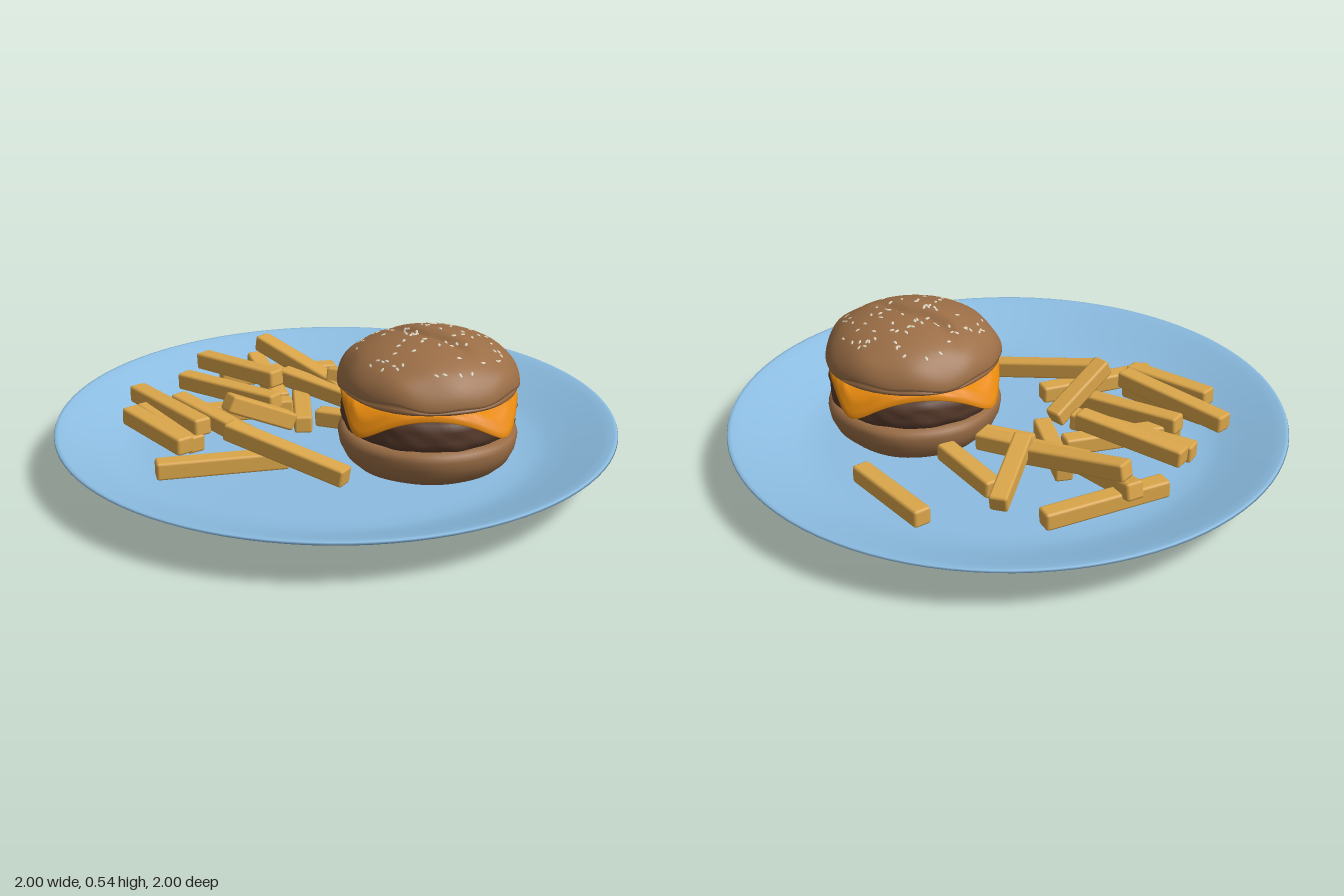
import * as THREE from 'three';
import { mergeVertices, mergeGeometries } from 'three/addons/utils/BufferGeometryUtils.js';
import { RoundedBoxGeometry } from 'three/addons/geometries/RoundedBoxGeometry.js';

const paint = (name, color) => {
  const m = new THREE.MeshStandardMaterial({ color });
  m.name = name;
  return m;
};

// Lathe a [radius, y] profile, optionally moving each vertex by a rule
function turned(profile, segments, rule) {
  const points = profile.map(([r, y]) => new THREE.Vector2(r, y));
  let geo = new THREE.LatheGeometry(points, segments);
  if (!rule) return geo;
  const pos = geo.attributes.position;
  const v = new THREE.Vector3();
  for (let i = 0; i < pos.count; i++) {
    v.fromBufferAttribute(pos, i);
    rule(v, Math.hypot(v.x, v.z), Math.atan2(v.z, v.x));
    pos.setXYZ(i, v.x, v.y, v.z);
  }
  geo.deleteAttribute('uv');
  geo.deleteAttribute('normal');
  geo = mergeVertices(geo, 1e-5);
  geo.computeVertexNormals();
  return geo;
}

function seeded(seed) {
  return () => {
    seed = (seed * 16807) % 2147483647;
    return seed / 2147483647;
  };
}

// Depth of the crease that runs across the crown of the bun
function crease(x, z) {
  const along = 0.83 * x + 0.55 * z;
  const across = 0.83 * z - 0.55 * x + 0.03 * Math.sin(along * 12);
  return 0.026 * Math.exp(-((across / 0.025) ** 2)) * Math.exp(-(((along + 0.02) / 0.17) ** 4));
}

const BUN_R = 0.318, BUN_Y = 0.365, BUN_H = 0.172;
const crownY = (x, z) =>
  BUN_Y + BUN_H * Math.sqrt(Math.max(0, 1 - (x * x + z * z) / BUN_R ** 2)) - crease(x, z);

export function createModel() {
  const model = new THREE.Group();
  const blue = paint('plate blue', 0x8cbde2);
  const brown = paint('bun brown', 0x9b6e46);
  const dark = paint('patty brown', 0x573a2b);
  const orange = paint('cheese orange', 0xe88a0e);
  const gold = paint('fry gold', 0xdba64a);
  const cream = paint('seed cream', 0xdcd2bc);

  const add = (parent, name, geo, mat) => {
    const mesh = new THREE.Mesh(geo, mat);
    mesh.name = name;
    parent.add(mesh);
    return mesh;
  };

  // Plate with a foot ring and a raised rim
  add(model, 'plate', turned([
    [0, 0.022], [0.5, 0.022], [0.53, 0.016], [0.55, 0.002], [0.57, 0], [0.59, 0.004], [0.62, 0.018],
    [0.67, 0.031], [0.8, 0.079], [0.92, 0.125], [0.985, 0.152], [1, 0.161], [0.997, 0.168],
    [0.985, 0.168], [0.95, 0.157], [0.85, 0.118], [0.77, 0.089], [0.71, 0.075], [0.64, 0.07], [0, 0.07],
  ], 96), blue);

  const burger = new THREE.Group();
  burger.name = 'burger';
  burger.position.x = 0.35;
  model.add(burger);

  // Bottom bun, slightly uneven
  add(burger, 'bottomBun', turned([
    [0, 0.068], [0.22, 0.068], [0.26, 0.08], [0.29, 0.108], [0.308, 0.145], [0.314, 0.18],
    [0.308, 0.2], [0.29, 0.212], [0, 0.212],
  ], 64, (v, r, a) => {
    const s = 1 + 0.008 * Math.sin(3 * a + 1) + 0.005 * Math.sin(7 * a);
    v.x *= s;
    v.z *= s;
  }), brown);

  // Patty with a rough edge
  add(burger, 'patty', turned([
    [0, 0.2], [0.28, 0.205], [0.298, 0.22], [0.304, 0.245], [0.3, 0.265], [0.305, 0.285],
    [0.298, 0.31], [0.27, 0.33], [0, 0.33],
  ], 80, (v, r, a) => {
    const s = 1 + 0.01 * Math.sin(9 * a + v.y * 60) + 0.006 * Math.sin(17 * a - v.y * 90);
    v.x *= s;
    v.z *= s;
  }), dark);

  // Square cheese slice whose corners fold down over the patty
  add(burger, 'cheese', turned([
    [0, 0.328], [0.2, 0.328], [0.26, 0.328], [0.28, 0.328], [0.3, 0.328], [0.306, 0.331], [0.31, 0.338],
    [0.306, 0.346], [0.3, 0.349], [0.28, 0.349], [0.26, 0.349], [0.2, 0.349], [0, 0.349],
  ], 120, (v, r, a) => {
    const c = Math.abs(Math.cos(a - 0.38 - Math.PI / 4)), s = Math.abs(Math.sin(a - 0.38 - Math.PI / 4));
    const flat = r * (c ** 8 + s ** 8) ** (-1 / 8);
    const extra = Math.max(0, flat - 0.3);
    const out = Math.min(flat, 0.3) + 0.5 * extra;
    v.set(out * Math.cos(a), v.y - 0.85 * extra, out * Math.sin(a));
  }), orange);

  // Top bun: dome with a crease, over a wavy folded lip
  const dome = [[0, 0.343], [0.27, 0.343], [0.3, 0.345], [0.309, 0.352], [0.308, 0.36], [0.3, 0.366], [0.312, 0.369]];
  for (let i = 0; i <= 32; i++) {
    const t = (Math.PI / 2) * (1 - i / 32);
    dome.push([BUN_R * Math.sin(t), BUN_Y + 0.005 + BUN_H * Math.cos(t) - 0.005 * (i / 32)]);
  }
  dome[dome.length - 1][0] = 0;
  add(burger, 'topBun', turned(dome, 96, (v, r, a) => {
    if (v.y > 0.4) v.y -= crease(v.x, v.z);
    const lip = THREE.MathUtils.smoothstep(r, 0.24, 0.31);
    const upper = THREE.MathUtils.smoothstep(v.y, 0.35, 0.37);
    v.y += lip * upper * (0.008 * Math.sin(4 * a + 1) + 0.005 * Math.sin(9 * a));
    const s = 1 + lip * (0.008 * Math.sin(5 * a) - 0.006);
    v.x *= s;
    v.z *= s;
  }), brown);

  // Sesame seeds scattered on the crown
  const random = seeded(41);
  const seeds = [];
  const dummy = new THREE.Object3D();
  for (let i = 0; i < 85; i++) {
    const r = 0.26 * Math.sqrt(0.03 + 0.97 * random()), a = random() * Math.PI * 2;
    const x = r * Math.cos(a), z = r * Math.sin(a);
    const e = 0.005;
    const normal = new THREE.Vector3(
      crownY(x - e, z) - crownY(x + e, z), 2 * e, crownY(x, z - e) - crownY(x, z + e)).normalize();
    dummy.position.set(x, crownY(x, z) + 0.001, z);
    dummy.quaternion.setFromUnitVectors(new THREE.Vector3(0, 1, 0), normal);
    dummy.rotateY(random() * Math.PI);
    dummy.scale.set(0.0055, 0.004, 0.01);
    dummy.updateMatrix();
    seeds.push(new THREE.SphereGeometry(1, 8, 6).applyMatrix4(dummy.matrix));
  }
  add(burger, 'sesameSeeds', mergeGeometries(seeds), cream);

  // Fries: start x, y, z and end x, y, z of each centre line
  const fries = new THREE.Group();
  fries.name = 'fries';
  model.add(fries);
  [
    [0.12, 0.108, -0.66, 0.42, 0.105, -0.42],
    [-0.26, 0.112, -0.58, -0.62, 0.125, -0.29],
    [-0.51, 0.245, -0.43, -0.09, 0.165, -0.26],
    [-0.105, 0.13, -0.56, -0.12, 0.215, -0.25],
    [-0.06, 0.108, -0.43, 0.17, 0.125, -0.24],
    [-0.35, 0.175, -0.29, 0.06, 0.15, -0.18],
    [-0.12, 0.11, -0.11, 0.08, 0.12, -0.1],
    [-0.54, 0.17, -0.43, -0.31, 0.11, -0.19],
    [-0.27, 0.11, -0.28, -0.12, 0.12, 0.02],
  ].concat([
    [-0.67, 0.21, -0.24, -0.28, 0.235, -0.1],
    [-0.69, 0.165, -0.12, -0.24, 0.18, -0.01],
    [-0.6, 0.115, 0.12, -0.23, 0.13, -0.12],
    [-0.77, 0.175, 0.09, -0.36, 0.19, 0.33],
    [-0.61, 0.16, 0.07, -0.18, 0.13, 0.25],
    [-0.69, 0.15, 0.18, -0.37, 0.135, 0.36],
    [-0.69, 0.17, 0.28, -0.37, 0.16, 0.44],
    [-0.16, 0.14, 0.04, -0.3, 0.27, 0.26],
    [-0.06, 0.108, 0.28, -0.43, 0.108, 0.55],
    [-0.26, 0.205, 0.34, 0.21, 0.13, 0.395],
  ]).forEach(([x1, y1, z1, x2, y2, z2]) => {
    const from = new THREE.Vector3(x1, y1, z1), to = new THREE.Vector3(x2, y2, z2);
    const fry = add(fries, 'fry', new RoundedBoxGeometry(0.066, 0.064, from.distanceTo(to), 1, 0.01), gold);
    fry.position.copy(from).lerp(to, 0.5);
    fry.lookAt(to);
  });

  return model;
}
